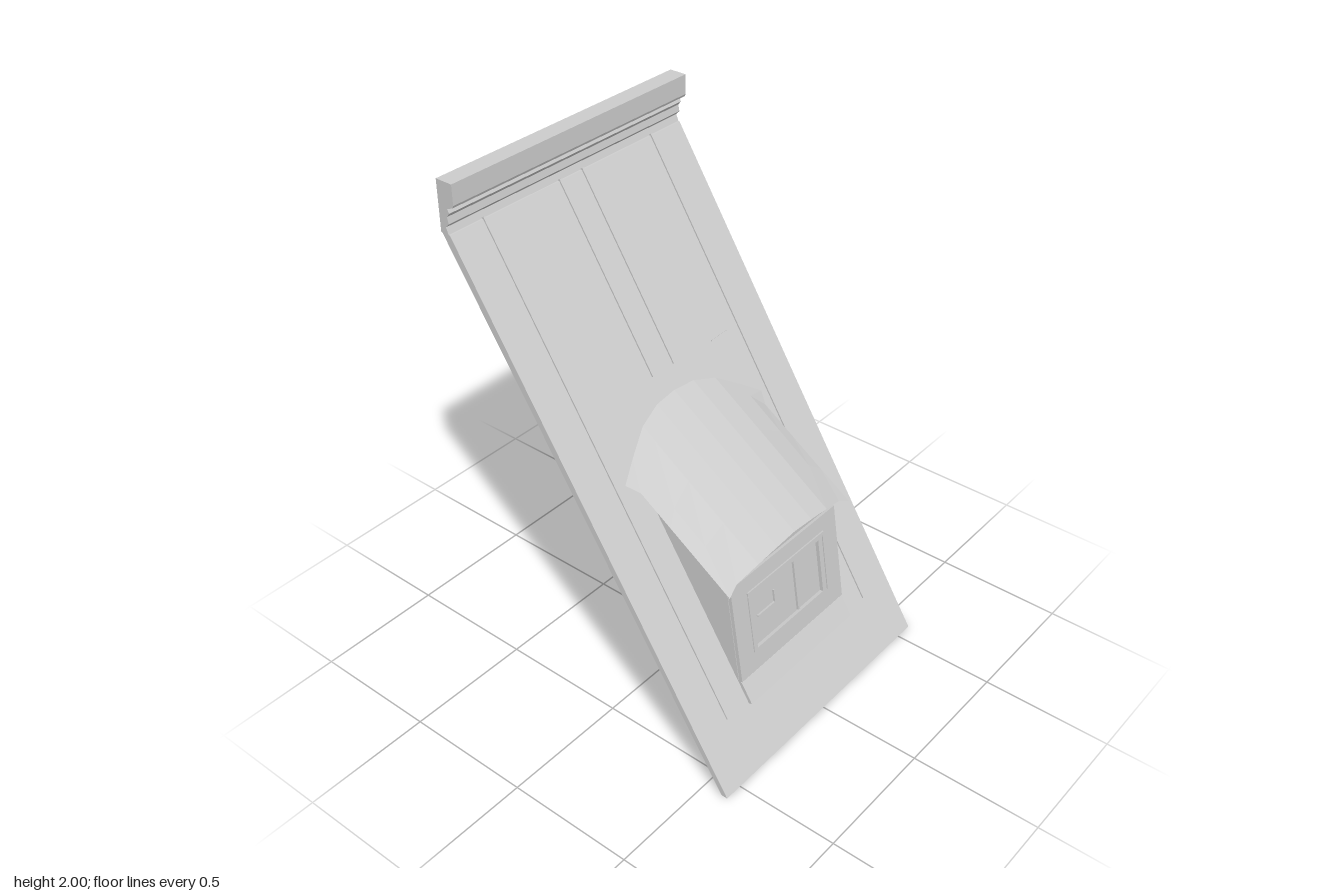
import * as THREE from 'three';

const WIDTH = 1.145;
const FOOT_Z = 0.6;
const slopeY = (z) => (FOOT_Z - z) * 1.56;
const material = new THREE.MeshStandardMaterial({ color: 0xcccccc, flatShading: true });
const thinMaterial = new THREE.MeshStandardMaterial({ color: 0xcccccc, flatShading: true, side: THREE.DoubleSide });

function addMesh(parent, name, geometry, mat = material) {
  const mesh = new THREE.Mesh(geometry, mat);
  mesh.name = name;
  parent.add(mesh);
  return mesh;
}

// Side profile of [z, y] points swept across x
function sweep(points, width) {
  const shape = new THREE.Shape(points.map(([z, y]) => new THREE.Vector2(z, y)));
  return new THREE.ExtrudeGeometry(shape, { depth: width, bevelEnabled: false })
    .translate(0, 0, -width / 2)
    .rotateY(-Math.PI / 2);
}

function bar(parent, name, x, y, w, h, depth, z = 0) {
  addMesh(parent, name, new THREE.BoxGeometry(w, h, depth)).position.set(x, y, z);
}

// Arched hood: flared back edge lying on the slope, curved front edge
function hoodGeometry() {
  const backX = [0, 0.1, 0.2, 0.3, 0.38], backZ = [-0.11, -0.105, -0.085, -0.045, -0.01];
  const frontX = [0, 0.1, 0.2, 0.3, 0.35], frontZ = [0.435, 0.435, 0.43, 0.415, 0.425];
  const frontY = [0.75, 0.743, 0.727, 0.695, 0.67];
  const rows = [0, 0.1, 0.4, 0.7, 1];
  const lerp = THREE.MathUtils.lerp;
  const geo = new THREE.PlaneGeometry(1, 1, 8, rows.length - 1);
  const pos = geo.attributes.position;
  for (let i = 0; i < pos.count; i++) {
    const col = (i % 9) - 4, k = Math.abs(col), t = rows[Math.floor(i / 9)];
    const x = t === 0 ? backX[k] : Math.min(0.35, lerp(backX[k], frontX[k], t));
    const y = lerp(slopeY(backZ[k]) + 0.006, frontY[k], t);
    pos.setXYZ(i, Math.sign(col) * x, y, lerp(backZ[k], frontZ[k], t));
  }
  geo.computeVertexNormals();
  return geo;
}

export function createModel() {
  const model = new THREE.Group();
  model.name = 'roofWithDormer';

  // Sloping slab and moulded cornice
  addMesh(model, 'roofSlab', sweep([[0.575, 0], [0.6, 0], [-0.56, 1.81], [-0.598, 1.815]], WIDTH));
  addMesh(model, 'cornice', sweep([
    [-0.6, 1.81], [-0.565, 1.81], [-0.575, 1.835], [-0.56, 1.85], [-0.565, 1.875],
    [-0.553, 1.89], [-0.56, 1.905], [-0.535, 1.915], [-0.53, 1.925], [-0.53, 2], [-0.6, 2],
  ], WIDTH));

  // Seams laid on the slope; local y runs up the roof
  const seams = new THREE.Group();
  seams.name = 'roofSeams';
  seams.position.z = FOOT_Z;
  seams.rotation.x = -Math.atan(1 / 1.56);
  model.add(seams);
  const slopeScale = Math.hypot(1, 1 / 1.56);
  for (const [x, y0] of [[-0.42, 0.19], [0.415, 0.19], [-0.06, 1.18], [0.053, 1.18]]) {
    bar(seams, 'seam', x, (y0 + 1.815) / 2 * slopeScale, 0.01, (1.815 - y0) * slopeScale, 0.012);
  }
  bar(seams, 'crossSeam', 0.305, 1.175 * slopeScale, 0.09, 0.005, 0.006);

  // Dormer body with sloping apron
  const dormer = new THREE.Group();
  dormer.name = 'dormer';
  model.add(dormer);
  addMesh(dormer, 'dormerBody', sweep([
    [0.48, 0.18], [0.497, 0.185], [0.45, 0.26], [0.435, 0.27], [0.375, 0.66],
    [0.372, 0.685], [0.02, 0.91], [0, 0.9],
  ], 0.61));
  addMesh(dormer, 'hood', hoodGeometry(), thinMaterial);

  // Arched infill under the hood
  const arch = new THREE.Shape();
  arch.moveTo(-0.305, 0.64);
  arch.lineTo(0.305, 0.64);
  arch.lineTo(0.305, 0.71);
  arch.quadraticCurveTo(0, 0.835, -0.305, 0.71);
  addMesh(dormer, 'archInfill', new THREE.ShapeGeometry(arch, 8), thinMaterial).position.z = 0.38;

  // Leaning front wall with a recessed window
  const front = new THREE.Group();
  front.name = 'dormerFront';
  front.position.set(0, 0.46, 0.408);
  front.rotation.x = -Math.atan(0.06 / 0.39);
  dormer.add(front);
  const wall = new THREE.Shape([[-0.305, -0.2], [0.305, -0.2], [0.305, 0.2], [-0.305, 0.2]]
    .map(([x, y]) => new THREE.Vector2(x, y)));
  wall.holes.push(new THREE.Path([[-0.2, -0.115], [-0.2, 0.11], [0.195, 0.11], [0.195, -0.115]]
    .map(([x, y]) => new THREE.Vector2(x, y))));
  addMesh(front, 'windowWall', new THREE.ExtrudeGeometry(wall, { depth: 0.014, bevelEnabled: false }));

  // Window trim and glazing bars
  bar(front, 'windowHead', 0, 0.13, 0.45, 0.014, 0.012, 0.014);
  for (const x of [-0.22, 0.222]) bar(front, 'windowJamb', x, 0, 0.008, 0.24, 0.008, 0.014);
  bar(front, 'mullion', 0.057, 0, 0.01, 0.225, 0.01, 0.002);
  bar(front, 'paneBar', -0.07, 0.025, 0.005, 0.055, 0.008, 0.003);
  bar(front, 'paneBar', -0.12, 0, 0.1, 0.005, 0.008, 0.003);

  return model;
}
